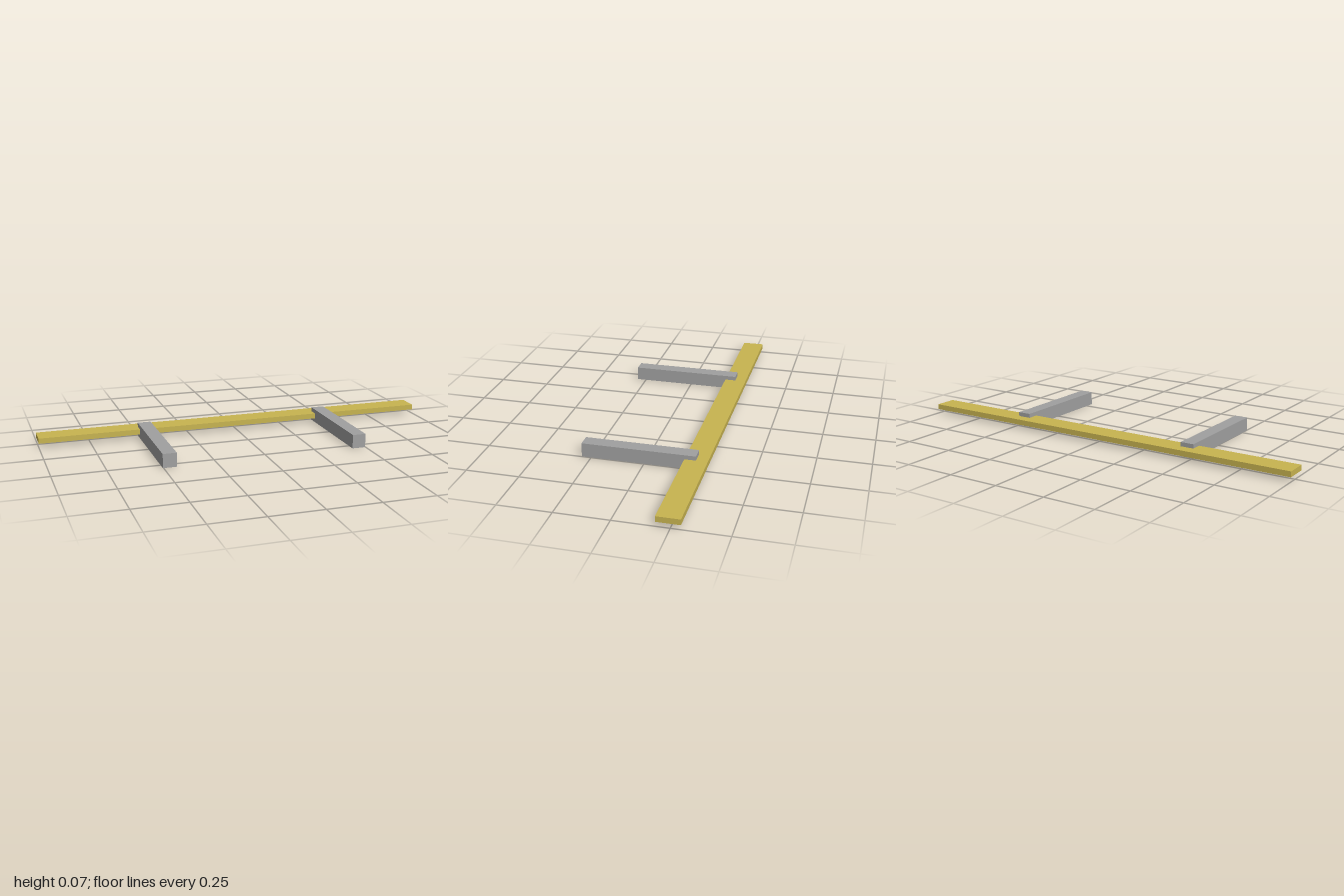
import * as THREE from 'three';

export function createModel() {
  const model = new THREE.Group();
  const yellow = new THREE.MeshStandardMaterial({ name: 'yellow', color: 0xc8b450 });
  const grey = new THREE.MeshStandardMaterial({ name: 'grey', color: 0xa0a0a0 });

  // Box given by its lower and upper corners
  const addBox = (name, material, [x0, y0, z0], [x1, y1, z1]) => {
    const mesh = new THREE.Mesh(new THREE.BoxGeometry(x1 - x0, y1 - y0, z1 - z0), material);
    mesh.position.set((x0 + x1) / 2, (y0 + y1) / 2, (z0 + z1) / 2);
    mesh.name = name;
    model.add(mesh);
  };

  // Long flat plank across the back
  addBox('plank', yellow, [-1, 0.021, -0.294], [1, 0.047, -0.187]);

  // Two bars reaching forward, with the plank passing through them
  for (const [name, x] of [['rightBar', -0.47], ['leftBar', 0.465]]) {
    addBox(name, grey, [x - 0.033, 0, -0.24], [x + 0.033, 0.067, 0.294]);
  }

  return model;
}
